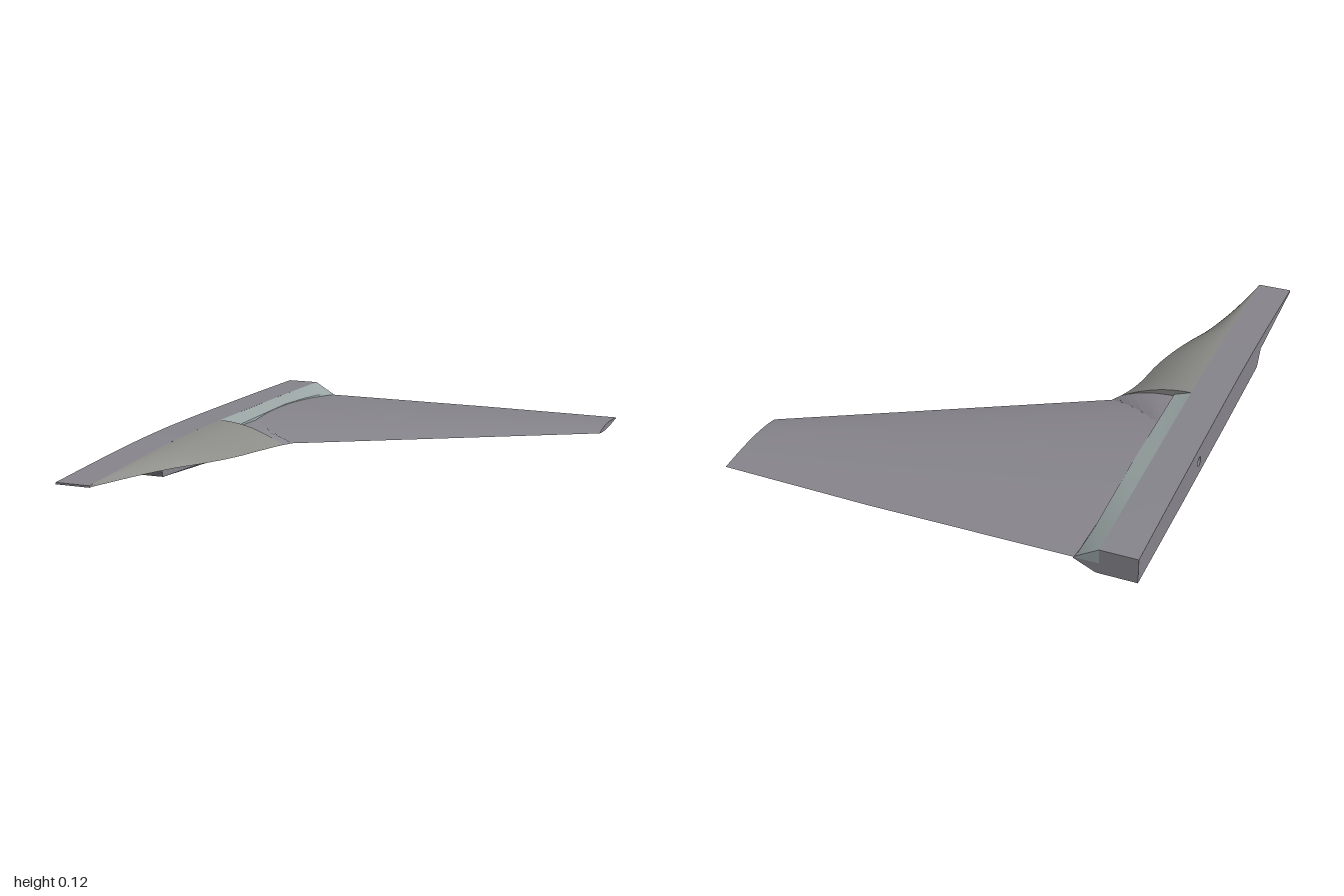
import * as THREE from 'three';
import { toCreasedNormals } from 'three/addons/utils/BufferGeometryUtils.js';

const paint = new THREE.MeshStandardMaterial({ color: 0x87858c });
const strakePaint = new THREE.MeshStandardMaterial({ color: 0x8a8a86 });
const fairingPaint = new THREE.MeshStandardMaterial({ color: 0x99a5a4 });
const INNER = -0.775, ROOT = -0.64, TIP = 0.775;
const lerp = THREE.MathUtils.lerp;

function makeMesh(name, geometry, material) {
  const mesh = new THREE.Mesh(geometry, material);
  mesh.name = name;
  return mesh;
}

// Skin a list of closed rings (counter-clockwise seen from the first end) and cap both ends.
function loft(rings, crease = 0.5) {
  const pos = [];
  const tri = (...corners) => corners.forEach((c) => pos.push(...c));
  const n = rings[0].length;
  for (let i = 0; i < rings.length - 1; i++) {
    for (let j = 0; j < n; j++) {
      const k = (j + 1) % n, a = rings[i], b = rings[i + 1];
      tri(a[j], b[k], a[k]);
      tri(a[j], b[j], b[k]);
    }
  }
  const first = rings[0], last = rings[rings.length - 1];
  for (let j = 1; j < n - 1; j++) {
    tri(first[0], first[j], first[j + 1]);
    tri(last[0], last[j + 1], last[j]);
  }
  const g = new THREE.BufferGeometry();
  g.setAttribute('position', new THREE.Float32BufferAttribute(pos, 3));
  return toCreasedNormals(g, crease);
}

// Upper spine line, stored as (z, y)
const spine = [[1, 0.09], [0.8, 0.102], [0.6, 0.113], [0.4, 0.121], [0.2, 0.125],
  [0, 0.125], [-0.3, 0.122], [-0.65, 0.117], [-1, 0.11]];
function spineY(z) {
  const i = Math.max(1, spine.findIndex((p) => p[0] <= z));
  const [z0, y0] = spine[i - 1], [z1, y1] = spine[i];
  return lerp(y0, y1, (z - z0) / (z1 - z0));
}

// Root block: side profile extruded across x, with a small pin hole
function rootBlock() {
  const bottom = [[-1, 0.015], [-0.5, 0.005], [0, 0], [0.48, 0], [0.52, 0.063], [1, 0.083]];
  const shape = new THREE.Shape([...spine, ...bottom].map(([z, y]) => new THREE.Vector2(-z, y)));
  shape.holes.push(new THREE.Path().absarc(0.33, 0.06, 0.018, 0, Math.PI * 2, false));
  const g = new THREE.ExtrudeGeometry(shape, { depth: ROOT - INNER, bevelEnabled: false, curveSegments: 16 });
  g.rotateY(Math.PI / 2).translate(INNER, 0, 0);
  return toCreasedNormals(g, 0.3);
}

// Swept, tapered wing panel with a thin sharp-edged section
function wing() {
  const steps = 16;
  const rings = [ROOT, -0.34, 0.2, TIP].map((x) => {
    const s = (x + 0.5) / (TIP + 0.5);
    const zLead = -0.04 - (x + 0.34) * 0.547;
    const zTrail = x > 0.2 ? lerp(-1, -0.985, (x - 0.2) / (TIP - 0.2)) : -1;
    const point = (t, height) => [x,
      lerp(lerp(0.044, 0.048, s), lerp(0.056, 0.05, s), t) + height * Math.sin(Math.PI * t ** 0.8),
      lerp(zLead, zTrail, t)];
    const ring = [];
    for (let i = 0; i < steps; i++) ring.push(point(i / steps, lerp(0.05, 0.014, s)));
    for (let i = steps; i > 0; i--) ring.push(point(i / steps, lerp(-0.036, -0.009, s)));
    return ring;
  });
  return loft(rings);
}

// Flat-bottomed, domed cross-section reaching from the root out to x
function domeRing(x, z, edgeY, top, power) {
  const ring = [[ROOT, edgeY, z]];
  for (let i = 10; i >= 0; i--) {
    const u = i / 10;
    ring.push([lerp(ROOT, x, u), lerp(edgeY, top, 1 - u ** power), z]);
  }
  return ring;
}

// Curved leading-edge extension, its outline stored as (x, z)
function strake() {
  const outline = [[ROOT, 1], [-0.6, 0.8], [-0.57, 0.68], [-0.535, 0.57], [-0.49, 0.47], [-0.45, 0.36],
    [-0.422, 0.25], [-0.405, 0.14], [-0.385, 0.06], [-0.362, 0]];
  const curve = new THREE.SplineCurve(outline.map(([x, z]) => new THREE.Vector2(x, z)));
  const rings = curve.getPoints(40).map(({ x, y: z }) => {
    const edgeY = z > 0.1 ? lerp(0.044, 0.084, (z - 0.1) / 0.9) : 0.044;
    return domeRing(x, z, edgeY, spineY(z), 2);
  });
  return loft(rings, 0.6);
}

// Thick front corner of the wing directly behind the strake
function wingShoulder() {
  const outline = [[-0.362, 0], [-0.34, -0.04], [-0.575, -0.28]];
  return loft(outline.map(([x, z]) => domeRing(x, z, 0.044, 0.096, 3)), 0.6);
}

// Lower faceted fairing, widening behind its slanted front
function lowerFairing() {
  // z, bottom y, bottom x, waist x, waist y, join x
  const sections = [
    [0.49, 0.002, -0.639, -0.639, 0.05, -0.639],
    [0.05, 0, -0.56, -0.55, 0.014, -0.563],
    [-0.5, 0.005, -0.575, -0.555, 0.03, -0.564],
    [-0.85, 0.012, -0.61, -0.555, 0.045, -0.558],
    [-1, 0.015, -0.63, -0.55, 0.052, -0.552],
  ];
  return loft(sections.map(([z, yb, xb, xw, yw, xj]) => [
    [ROOT, yb, z], [xb, yb, z], [xw, yw, z], [xj, 0.055, z], [ROOT, 0.055, z],
  ]), 0.3);
}

// Sloping strip along the top of the wing root
function upperFairing() {
  // z, join x, shoulder x, shoulder y
  const sections = [
    [0, -0.563, -0.575, 0.102],
    [-0.5, -0.564, -0.575, 0.103],
    [-0.7, -0.562, -0.574, 0.092],
    [-0.85, -0.558, -0.572, 0.08],
    [-1, -0.552, -0.56, 0.062],
  ];
  return loft(sections.map(([z, xj, xs, ys]) => [
    [ROOT, 0.055, z], [xj, 0.055, z], [xs, ys, z], [ROOT, spineY(z), z],
  ]), 0.3);
}

export function createModel() {
  const model = new THREE.Group();
  model.name = 'wingHalf';
  model.add(
    makeMesh('rootBlock', rootBlock(), paint),
    makeMesh('wingPanel', wing(), paint),
    makeMesh('wingShoulder', wingShoulder(), paint),
    makeMesh('strake', strake(), strakePaint),
    makeMesh('lowerFairing', lowerFairing(), paint),
    makeMesh('upperFairing', upperFairing(), fairingPaint),
  );
  return model;
}
